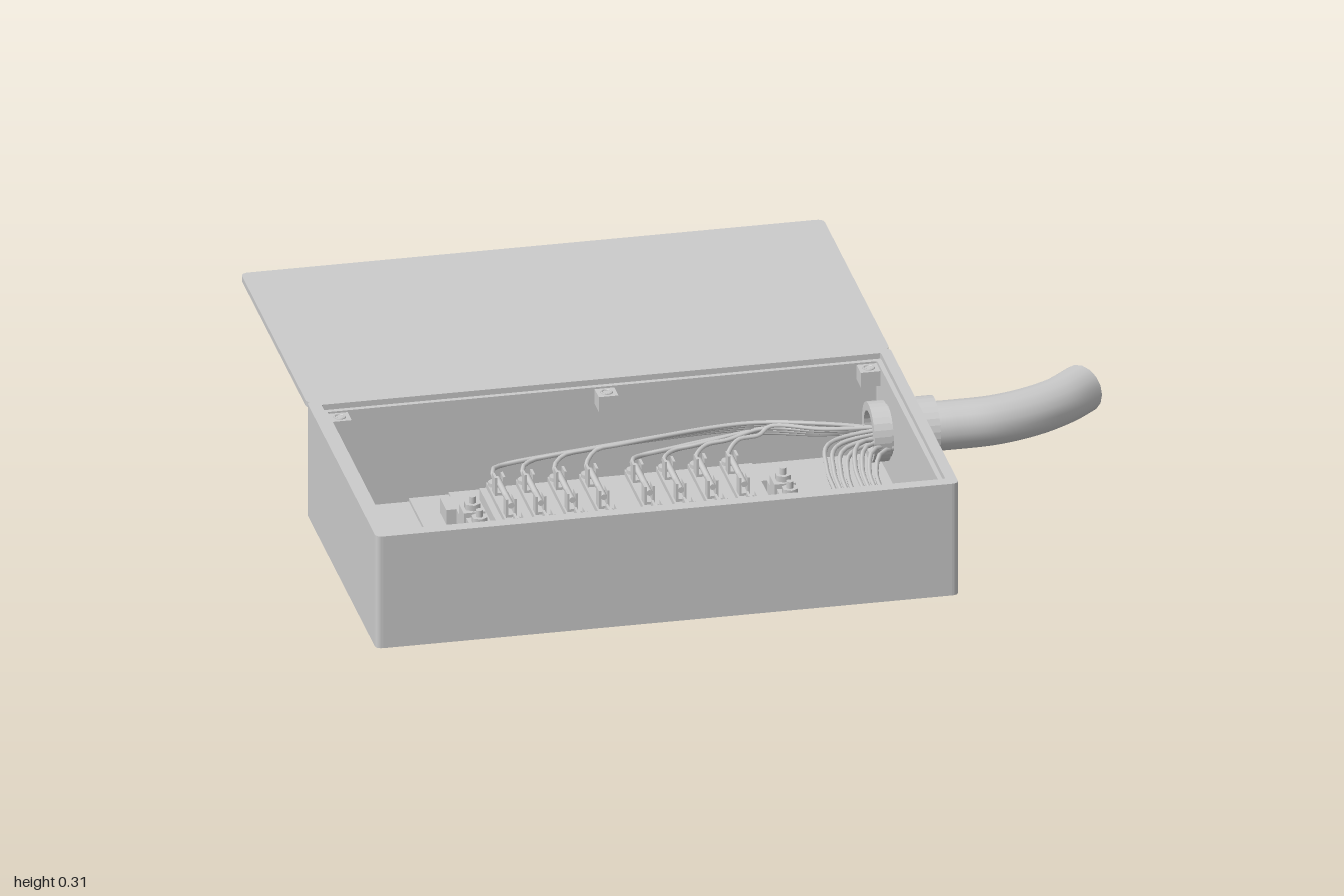
import * as THREE from 'three';

const grey = new THREE.MeshStandardMaterial({ color: 0xcccccc });
const greyDouble = new THREE.MeshStandardMaterial({ color: 0xcccccc, side: THREE.DoubleSide });
const V = (x, y, z) => new THREE.Vector3(x, y, z);

// Rounded rectangle on the ground plane (shape y = -z)
function outline(P, x0, x1, z0, z1, r) {
  const s = new P();
  s.moveTo(x0 + r, -z1);
  s.lineTo(x1 - r, -z1); s.quadraticCurveTo(x1, -z1, x1, -z1 + r);
  s.lineTo(x1, -z0 - r); s.quadraticCurveTo(x1, -z0, x1 - r, -z0);
  s.lineTo(x0 + r, -z0); s.quadraticCurveTo(x0, -z0, x0, -z0 - r);
  s.lineTo(x0, -z1 + r); s.quadraticCurveTo(x0, -z1, x0 + r, -z1);
  return s;
}

export function createModel() {
  const model = new THREE.Group();
  const add = (name, geometry, parent = model, material = grey) => {
    const mesh = new THREE.Mesh(geometry, material);
    mesh.name = name;
    parent.add(mesh);
    return mesh;
  };
  const group = (name) => {
    const g = new THREE.Group();
    g.name = name;
    model.add(g);
    return g;
  };
  // Horizontal slab with rounded corners and an optional rectangular opening
  const slab = (name, parent, [x0, x1, z0, z1], y0, y1, r, hole) => {
    const s = outline(THREE.Shape, x0, x1, z0, z1, r);
    if (hole) s.holes.push(outline(THREE.Path, ...hole, 0.004));
    const g = new THREE.ExtrudeGeometry(s, { depth: y1 - y0, bevelEnabled: false, curveSegments: 5 });
    g.rotateX(-Math.PI / 2).translate(0, y0, 0);
    return add(name, g, parent);
  };
  const box = (name, parent, x, y, z, w, h, d) =>
    add(name, new THREE.BoxGeometry(w, h, d).translate(x, y, z), parent);
  const cyl = (name, parent, x, y, z, r, h, sides = 12) =>
    add(name, new THREE.CylinderGeometry(r, r, h, sides).translate(x, y, z), parent);

  // Enclosure: base, walls and stepped rim
  const shell = group('enclosure');
  const outer = [-1, 0.475, -0.02, 0.785];
  slab('base', shell, outer, 0, 0.025, 0.018);
  slab('walls', shell, outer, 0.025, 0.29, 0.018, [-0.955, 0.435, 0.018, 0.74]);
  slab('rim', shell, outer, 0.29, 0.305, 0.018, [-0.968, 0.447, 0.005, 0.752]);
  box('floorPlate', shell, -0.158, 0.029, 0.379, 1.184, 0.012, 0.72);
  box('mountingPlate', shell, -0.108, 0.034, 0.379, 1.084, 0.014, 0.72);

  // Open lid, lying flat behind the enclosure
  slab('lid', model, [-1, 0.475, -0.79, -0.018], 0.288, 0.303, 0.02);

  // Screw bosses along the back wall
  for (const x of [-0.93, -0.255, 0.408]) {
    box('screwBoss', shell, x, 0.265, 0.041, 0.05, 0.04, 0.05);
    const ring = new THREE.TorusGeometry(0.013, 0.003, 5, 16);
    add('bossRing', ring.rotateX(Math.PI / 2).translate(x, 0.285, 0.041), shell);
  }

  // Cable gland: hollow stepped collar through the right wall
  const profile = [
    [0.054, 0.385], [0.076, 0.385], [0.076, 0.428], [0.066, 0.428], [0.066, 0.473],
    [0.09, 0.473], [0.09, 0.49], [0.077, 0.492], [0.077, 0.552], [0.054, 0.552], [0.054, 0.385],
  ];
  const sharp = [];
  for (const [r, h] of profile) sharp.push(new THREE.Vector2(r, h));
  const gland = new THREE.LatheGeometry(sharp, 28).toNonIndexed();
  gland.computeVertexNormals();
  gland.rotateZ(-Math.PI / 2).translate(0, 0.16, 0.145);
  add('cableGland', gland, model, greyDouble);

  // Conduit bending towards the back
  const path = new THREE.CatmullRomCurve3([
    V(0.5, 0.16, 0.145), V(0.6, 0.16, 0.147), V(0.7, 0.16, 0.143),
    V(0.8, 0.16, 0.115), V(0.885, 0.16, 0.07), V(0.955, 0.16, 0.01),
  ]);
  add('conduit', new THREE.TubeGeometry(path, 30, 0.062, 16), model, greyDouble);

  // Terminal carrier with corner feet
  const carrier = group('terminalCarrier');
  box('carrierBoard', carrier, -0.25, 0.08, 0.375, 0.69, 0.03, 0.5);
  box('carrierSupport', carrier, -0.25, 0.052, 0.375, 0.6, 0.03, 0.4);
  for (const side of [-1, 1]) {
    const x = -0.257 + side * 0.393;
    for (const z of [0.163, 0.592]) box('carrierFoot', carrier, x, 0.06, z, 0.09, 0.04, 0.075);
    box('studRail', carrier, x, 0.06, 0.375, 0.04, 0.04, 0.4);
    // Earthing studs on either side
    for (const z of [0.295, 0.377, 0.46]) {
      box('studBlock', carrier, x, 0.1, z, 0.055, 0.05, 0.055);
      cyl('studNut', carrier, x, 0.132, z, 0.021, 0.016, 6);
      cyl('stud', carrier, x, 0.145, z, 0.009, 0.026);
    }
  }

  // Fuse ways: two mirrored rows of eight
  const columns = [-0.56, -0.485, -0.405, -0.325, -0.21, -0.13, -0.05, 0.03];
  const fuses = group('fuseWays');
  for (const x of columns) {
    for (const s of [-1, 1]) {
      const at = (d) => 0.375 + s * d;
      box('terminalBase', fuses, x, 0.102, at(0.135), 0.036, 0.014, 0.23);
      for (const d of [0.185, 0.055]) {
        for (const e of [-1, 1])
          box('clipCheek', fuses, x + e * 0.0105, 0.133, at(d), 0.006, 0.05, 0.032);
        box('clipFoot', fuses, x, 0.112, at(d), 0.025, 0.008, 0.032);
      }
      const rod = new THREE.CylinderGeometry(0.008, 0.008, 0.16, 10).rotateX(Math.PI / 2);
      add('fuseRod', rod.translate(x, 0.14, at(0.12)), fuses);
      cyl('terminalScrew', fuses, x, 0.107, at(0.23), 0.017, 0.024, 14);
      cyl('terminalStud', fuses, x, 0.122, at(0.23), 0.007, 0.02, 8);
    }
  }

  // Wires from both rows, gathered into the gland
  const wires = group('wires');
  const wire = (points) => add('wire',
    new THREE.TubeGeometry(new THREE.CatmullRomCurve3(points, false, 'centripetal'), 44, 0.006, 6), wires);
  columns.forEach((x, i) => {
    const t = i / 7;
    const y = 0.125 + 0.008 * (i % 4);
    // Back row runs along the back wall
    const zb = 0.068 + 0.03 * t;
    wire([
      V(x, 0.123, 0.14), V(x + 0.004, 0.13, zb + 0.03), V(x + 0.035, y, zb),
      V(x + 0.09, y + 0.005, zb - 0.006),
      V(0.05 + 0.1 * t, y + 0.02, 0.03 + 0.05 * t),
      V(0.28, y + 0.02, 0.07 + 0.055 * t), V(0.47, 0.13 + 0.05 * t, 0.11 + 0.06 * t),
    ]);
    // Front row runs along the front wall, then back beside the right wall
    const zf = 0.728 - 0.055 * t;
    const xr = 0.365 - 0.125 * t;
    wire([
      V(x, 0.123, 0.61), V(x + 0.004, 0.12, zf - 0.03), V(x + 0.035, y, zf),
      V(x + 0.1, y, zf + 0.003),
      V(xr - 0.14, y, zf - 0.015), V(xr - 0.035, y, zf - 0.07),
      V(xr - 0.01, y + 0.005, 0.5), V(xr, y + 0.01, 0.33),
      V(xr + 0.035, y + 0.02, 0.235 - 0.03 * t), V(0.47, 0.13 + 0.05 * t, 0.185 - 0.02 * t),
    ]);
  });

  return model;
}
